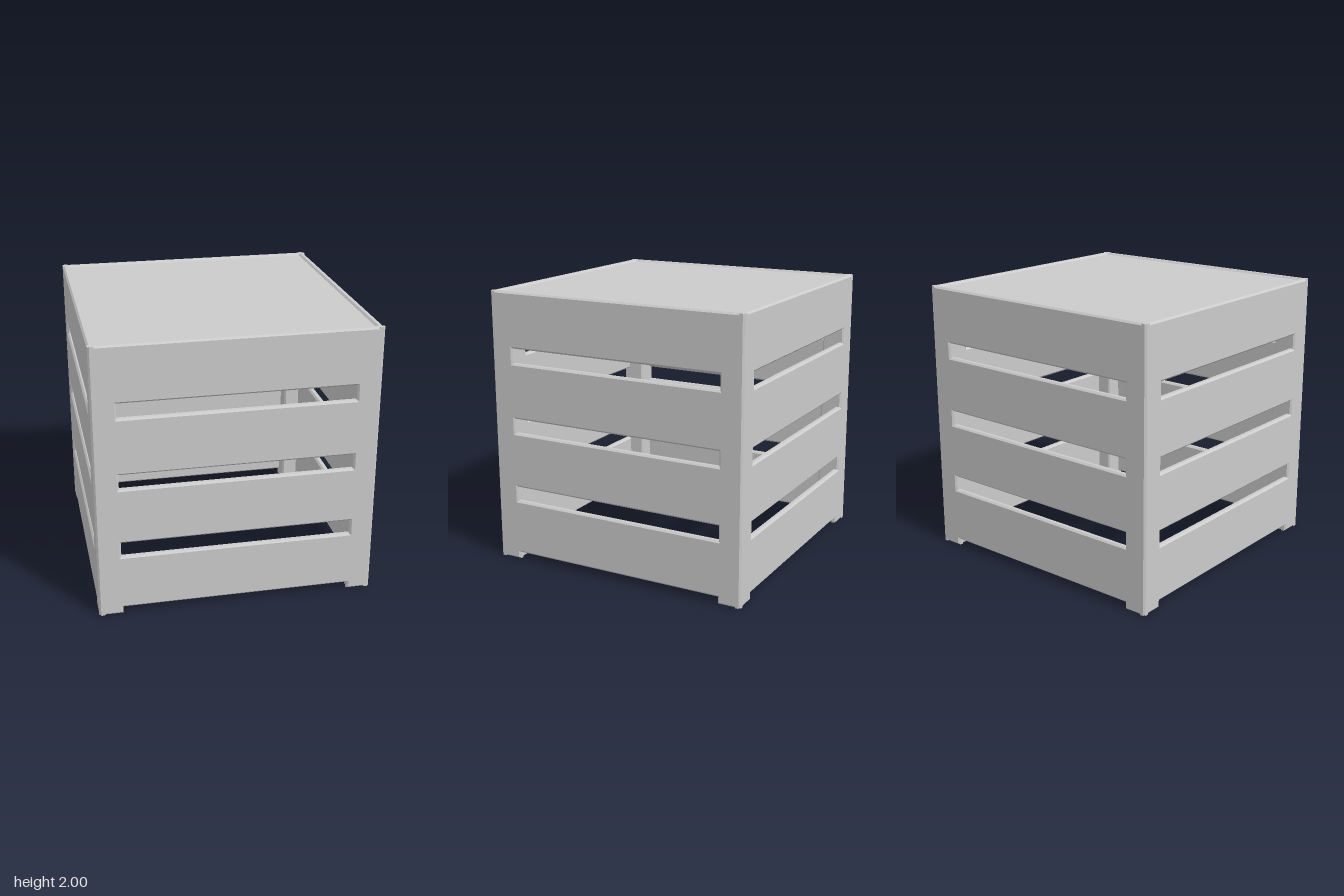
import * as THREE from 'three';

const HALF = 0.99;      // half width of the crate
const INNER = 0.82;     // inner face of the corner posts
const HEIGHT = 2;
const THICK = 0.05;     // wall thickness
const C = 0.013;        // edge chamfer

const material = new THREE.MeshStandardMaterial({ color: 0xcccccc });

function polygon(points, Type = THREE.Shape) {
  return new Type(points.map(([x, y]) => new THREE.Vector2(x, y)));
}

// Extrusion with chamfered edges, occupying z = 0..depth
function chamfered(shape, depth) {
  const g = new THREE.ExtrudeGeometry(shape, {
    depth: depth - 2 * C, bevelEnabled: true, bevelThickness: C,
    bevelSize: C, bevelOffset: -C, bevelSegments: 1,
  });
  return g.translate(0, 0, C);
}

// One wall: a slotted board with a notch between the feet
function wallGeometry() {
  const shape = polygon([
    [-HALF, 0], [-INNER, 0], [-INNER, 0.05], [INNER, 0.05], [INNER, 0],
    [HALF, 0], [HALF, HEIGHT], [-HALF, HEIGHT],
  ]);
  for (const y of [0.455, 0.972, 1.488]) {
    const top = y + 0.108;
    shape.holes.push(polygon([[-INNER, y], [-INNER, top], [INNER, top], [INNER, y]], THREE.Path));
  }
  return chamfered(shape, THICK).translate(0, 0, HALF - THICK);
}

// Square corner post with chamfered vertical edges, standing on y = 0
function postGeometry() {
  const a = (HALF - INNER) / 2, b = a - C;
  const shape = polygon([[-b, -a], [b, -a], [a, -b], [a, b], [b, a], [-b, a], [-a, b], [-a, -b]]);
  return chamfered(shape, HEIGHT - 0.04).rotateX(-Math.PI / 2);
}

export function createModel() {
  const model = new THREE.Group();
  model.name = 'slattedCrate';
  const add = (geometry, name) => {
    const mesh = new THREE.Mesh(geometry, material);
    mesh.name = name;
    model.add(mesh);
    return mesh;
  };

  // Four identical walls
  const wall = wallGeometry();
  ['frontWall', 'leftWall', 'backWall', 'rightWall'].forEach((name, i) => {
    add(wall, name).rotation.y = i * Math.PI / 2;
  });

  // Corner posts, ending in the feet
  const post = postGeometry(), p = (HALF + INNER) / 2;
  for (const sx of [-1, 1]) {
    for (const sz of [-1, 1]) {
      const name = (sz > 0 ? 'front' : 'back') + (sx > 0 ? 'Left' : 'Right') + 'Post';
      add(post, name).position.set(sx * p, 0, sz * p);
    }
  }

  // Top panel, set slightly below the rim
  const w = 2 * (HALF - THICK) + 0.01;
  add(new THREE.BoxGeometry(w, THICK, w), 'topPanel').position.y = HEIGHT - C - THICK / 2;

  return model;
}
